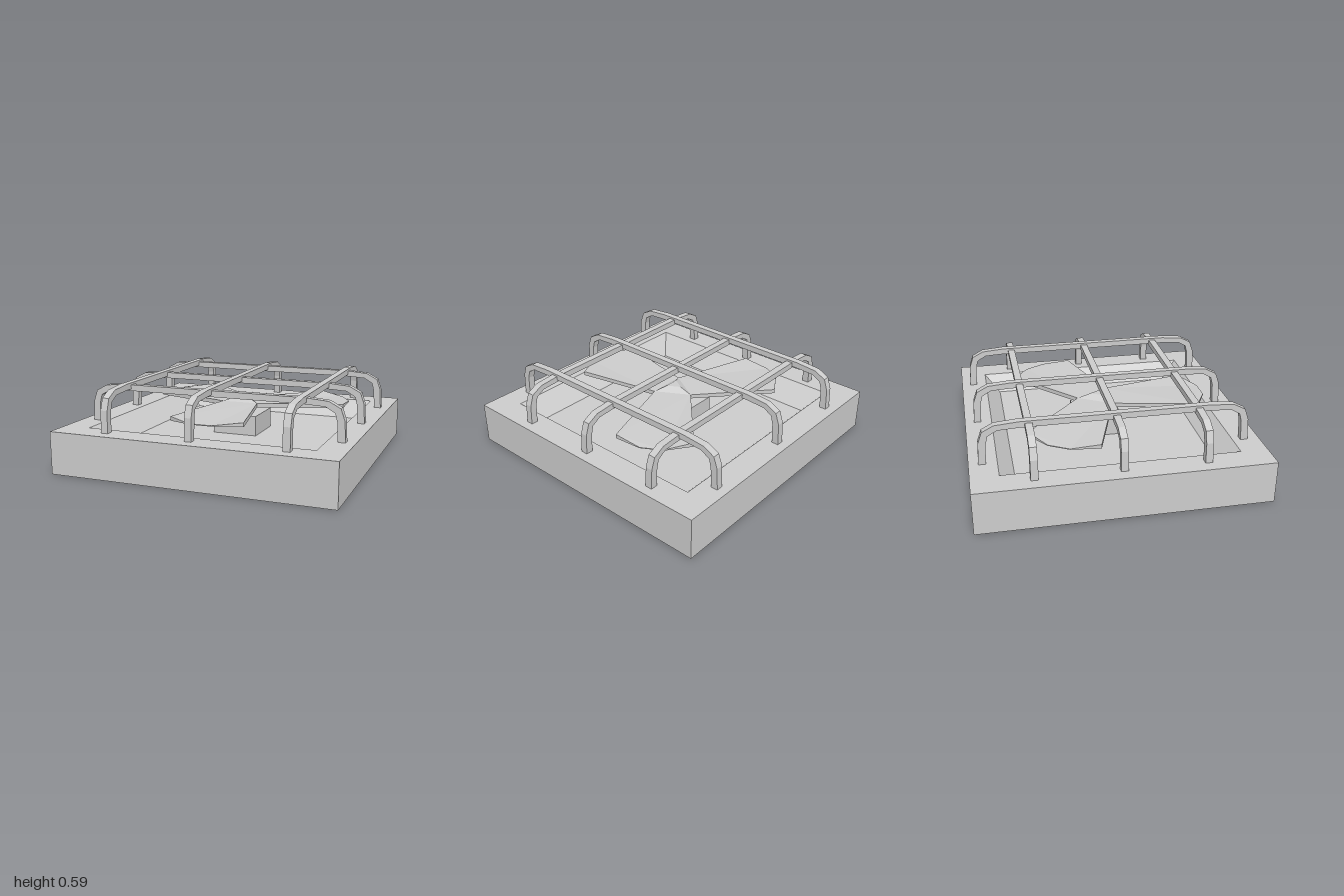
import * as THREE from 'three';

const material = new THREE.MeshStandardMaterial({ color: 0xcccccc, flatShading: true });

function part(name, geometry, parent) {
  const mesh = new THREE.Mesh(geometry, material);
  mesh.name = name;
  parent.add(mesh);
  return mesh;
}

// Joins four-cornered rings (x0, x1, z0, z1, y) and caps both ends
function loftRings(rings) {
  const corners = rings.map(([x0, x1, z0, z1, y]) => [[x0, y, z1], [x1, y, z1], [x1, y, z0], [x0, y, z0]]);
  const pos = [];
  const quad = (a, b, c, d) => [a, b, c, a, c, d].forEach((p) => pos.push(...p));
  for (let k = 0; k < corners.length - 1; k++) {
    const lo = corners[k], hi = corners[k + 1];
    for (let i = 0; i < 4; i++) {
      const j = (i + 1) % 4;
      quad(lo[i], lo[j], hi[j], hi[i]);
    }
  }
  const first = corners[0], last = corners[corners.length - 1];
  quad(first[3], first[2], first[1], first[0]);
  quad(...last);
  const g = new THREE.BufferGeometry();
  g.setAttribute('position', new THREE.Float32BufferAttribute(pos, 3));
  g.computeVertexNormals();
  return g;
}

// Bent guard bar running along x, with its feet on the frame
function barGeometry(rise) {
  const outer = [[0.925, 0.29], [0.918, 0.44], [0.89, 0.52], [0.81, 0.562], [0.65, 0.575]];
  const inner = [[0.65, 0.532], [0.79, 0.525], [0.853, 0.488], [0.868, 0.43], [0.875, 0.29]];
  const lift = ([x, y]) => new THREE.Vector2(x, y > 0.3 ? y + rise : y);
  const mirror = ([x, y]) => [-x, y];
  const outline = [
    ...outer,
    ...outer.map(mirror).reverse(),
    ...inner.map(mirror).reverse(),
    ...inner,
  ].map(lift);
  const g = new THREE.ExtrudeGeometry(new THREE.Shape(outline), { depth: 0.05, bevelEnabled: false });
  return g.translate(0, 0, -0.025);
}

// Flat blade pointing to +z, thinned at its tip
function bladeGeometry() {
  const half = [[0.135, 0.077], [0.265, 0.69], [0.08, 0.79]];
  const outline = [...half, ...half.map(([x, z]) => [-x, z]).reverse()].map(([x, z]) => new THREE.Vector2(x, z));
  const g = new THREE.ExtrudeGeometry(new THREE.Shape(outline), { depth: 0.03, bevelEnabled: false });
  g.rotateX(Math.PI / 2).translate(0, 0.4, 0);
  const p = g.attributes.position;
  for (let i = 0; i < p.count; i++) {
    if (p.getZ(i) > 0.75) p.setY(i, 0.383 + (p.getY(i) - 0.385) * 0.2);
  }
  g.computeVertexNormals();
  return g;
}

export function createModel() {
  const model = new THREE.Group();
  model.name = 'ventFan';

  // Square frame with a sloping recess
  part('frame', loftRings([
    [-1, 1, -1, 1, 0],
    [-1, 1, -1, 1, 0.3],
    [-0.81, 0.81, -0.81, 0.81, 0.3],
    [-0.66, 0.73, -0.7, 0.68, 0.17],
  ]), model);

  // Motor block on the recess floor
  part('motor', new THREE.BoxGeometry(0.33, 0.145, 0.33).translate(-0.003, 0.2425, -0.035), model);

  // Three-bladed rotor
  const rotor = new THREE.Group();
  rotor.name = 'rotor';
  rotor.position.set(0.015, 0, -0.01);
  model.add(rotor);
  part('hub', new THREE.CylinderGeometry(0.155, 0.155, 0.03, 3).rotateY(Math.PI).translate(0, 0.385, 0), rotor);
  part('hubCap', new THREE.CylinderGeometry(0.06, 0.155, 0.03, 3).rotateY(Math.PI).translate(0, 0.415, 0), rotor);
  const blade = bladeGeometry();
  for (let i = 0; i < 3; i++) {
    part('blade', blade, rotor).rotation.y = (i * Math.PI * 2) / 3;
  }

  // Guard: three bars across, three bars front to back just above them
  const guard = new THREE.Group();
  guard.name = 'guard';
  model.add(guard);
  const across = barGeometry(0);
  for (const z of [-0.595, -0.012, 0.553]) {
    part('crossBar', across, guard).position.set(0.01, 0, z);
  }
  const along = barGeometry(0.014);
  for (const x of [-0.628, -0.015, 0.648]) {
    const bar = part('longBar', along, guard);
    bar.rotation.y = Math.PI / 2;
    bar.position.set(x, 0, -0.01);
  }
  return model;
}
